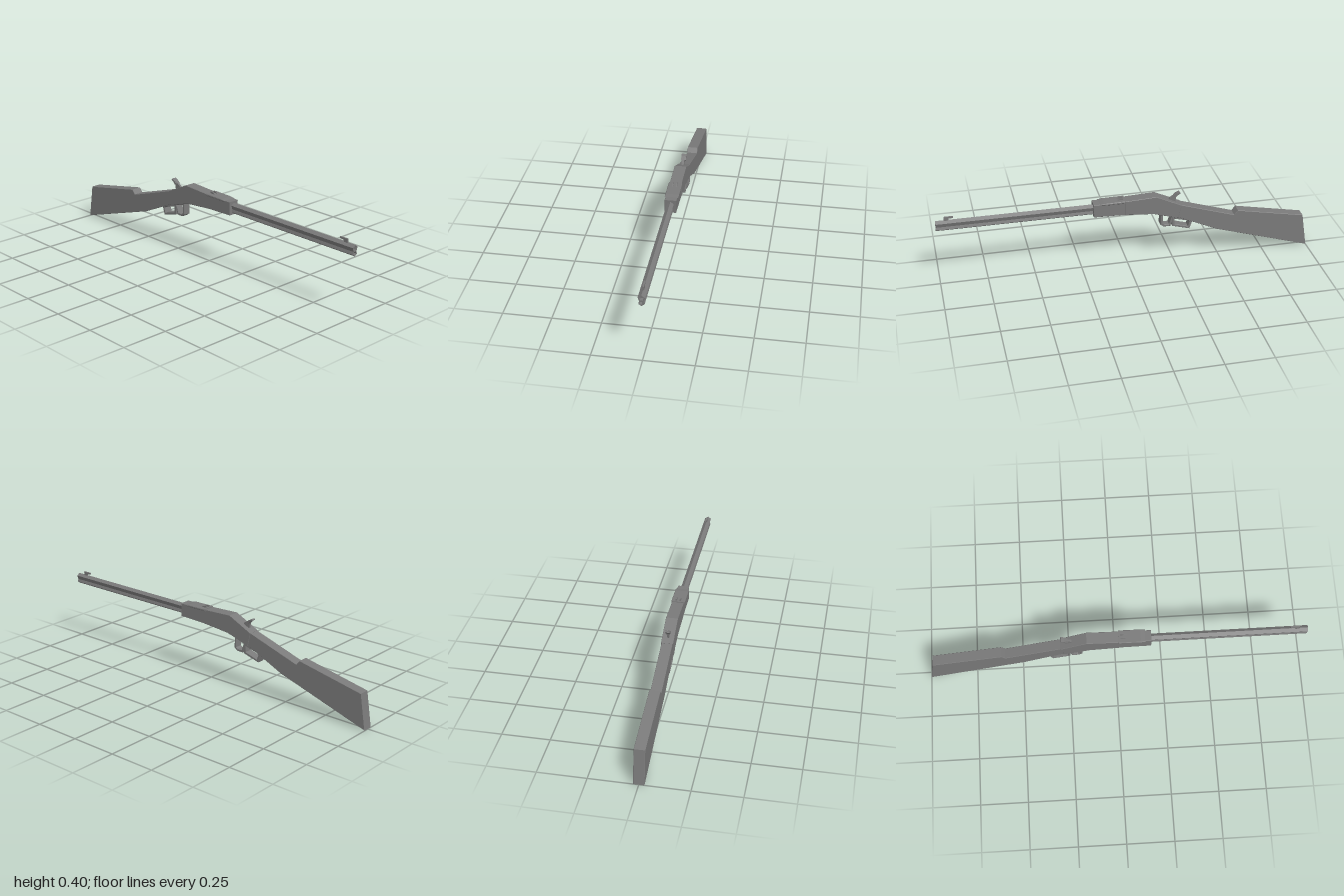
import * as THREE from 'three';

const material = new THREE.MeshStandardMaterial({ color: 0x7a7a7a, flatShading: true });

// Side outline given as [z, y] points, extruded across x with a small chamfer
function plate(name, outline, width, chamfer = 0, hole = null, x = 0) {
  const toPoints = (list) => list.map(([z, y]) => new THREE.Vector2(-z, y));
  const shape = new THREE.Shape(toPoints(outline));
  if (hole) shape.holes.push(new THREE.Path(toPoints(hole)));
  const geometry = new THREE.ExtrudeGeometry(shape, {
    depth: width - 2 * chamfer,
    bevelEnabled: chamfer > 0,
    bevelThickness: chamfer,
    bevelSize: chamfer,
    bevelOffset: -chamfer,
    bevelSegments: 1,
  });
  geometry.translate(0, 0, chamfer - width / 2);
  geometry.rotateY(Math.PI / 2);
  const mesh = new THREE.Mesh(geometry, material);
  mesh.position.x = x;
  mesh.name = name;
  return mesh;
}

// Five-sided tube along z with a shallow bore at the front
function tube(name, radius, bore, y, turn) {
  const profile = [[0, 0.15], [radius, 0.15], [radius, 1], [bore, 1], [bore, 0.98], [0, 0.98]]
    .map(([r, z]) => new THREE.Vector2(r, z));
  const geometry = new THREE.LatheGeometry(profile, 5);
  geometry.rotateY(turn);
  geometry.rotateX(Math.PI / 2);
  const mesh = new THREE.Mesh(geometry, material);
  mesh.position.y = y;
  mesh.name = name;
  return mesh;
}

export function createModel() {
  const model = new THREE.Group();
  model.name = 'leverRifle';

  // Barrel points up, magazine tube below it points down
  model.add(tube('barrel', 0.0185, 0.012, 0.358, Math.PI));
  model.add(tube('magazineTube', 0.0155, 0.01, 0.333, 0));

  // Front sight: a short post with a bar reaching back
  model.add(plate('frontSight',
    [[0.955, 0.37], [0.955, 0.394], [0.907, 0.394], [0.907, 0.386], [0.93, 0.384], [0.935, 0.37]], 0.008));

  // Fore-end with its overhanging top cover
  model.add(plate('foreEnd',
    [[0.185, 0.313], [0.185, 0.385], [0.01, 0.387], [0.01, 0.308]], 0.06, 0.002));
  model.add(plate('topCover',
    [[0.135, 0.378], [0.155, 0.385], [0.13, 0.389], [0.015, 0.391], [0.015, 0.378]], 0.071, 0.003));

  // Two prongs of the rear sight
  for (const side of [-1, 1]) {
    model.add(plate('rearSightProng',
      [[0.065, 0.387], [0.035, 0.4], [0.025, 0.4], [0.025, 0.387]], 0.006, 0, null, side * 0.01));
  }

  // Receiver
  model.add(plate('receiver',
    [[0.02, 0.308], [0.02, 0.387], [-0.15, 0.395], [-0.288, 0.33], [-0.27, 0.255], [-0.135, 0.295]],
    0.062, 0.002));

  // Stock
  model.add(plate('stock',
    [[-0.26, 0.262], [-0.278, 0.332], [-0.58, 0.236], [-0.6, 0.26], [-0.97, 0.187],
      [-1, 0], [-0.485, 0.16]], 0.056, 0.002));

  // Trigger guard and lever loop
  model.add(plate('triggerGuard',
    [[-0.175, 0.285], [-0.175, 0.22], [-0.193, 0.206], [-0.23, 0.206], [-0.252, 0.265]],
    0.04, 0.002, [[-0.188, 0.273], [-0.188, 0.226], [-0.198, 0.218], [-0.222, 0.218], [-0.237, 0.26]]));
  model.add(plate('leverLoop',
    [[-0.237, 0.265], [-0.239, 0.206], [-0.334, 0.179], [-0.349, 0.222], [-0.337, 0.24]],
    0.046, 0.002, [[-0.251, 0.248], [-0.252, 0.216], [-0.326, 0.194], [-0.334, 0.22], [-0.327, 0.228]]));

  // Hammer: slim curved stem with a wider thumb spur
  model.add(plate('hammerStem',
    [[-0.215, 0.345], [-0.228, 0.368], [-0.245, 0.378], [-0.265, 0.392], [-0.272, 0.386],
      [-0.262, 0.37], [-0.256, 0.335]], 0.012));
  model.add(plate('hammerSpur',
    [[-0.248, 0.377], [-0.262, 0.39], [-0.28, 0.398], [-0.284, 0.392], [-0.27, 0.383], [-0.258, 0.37]],
    0.026));

  return model;
}
